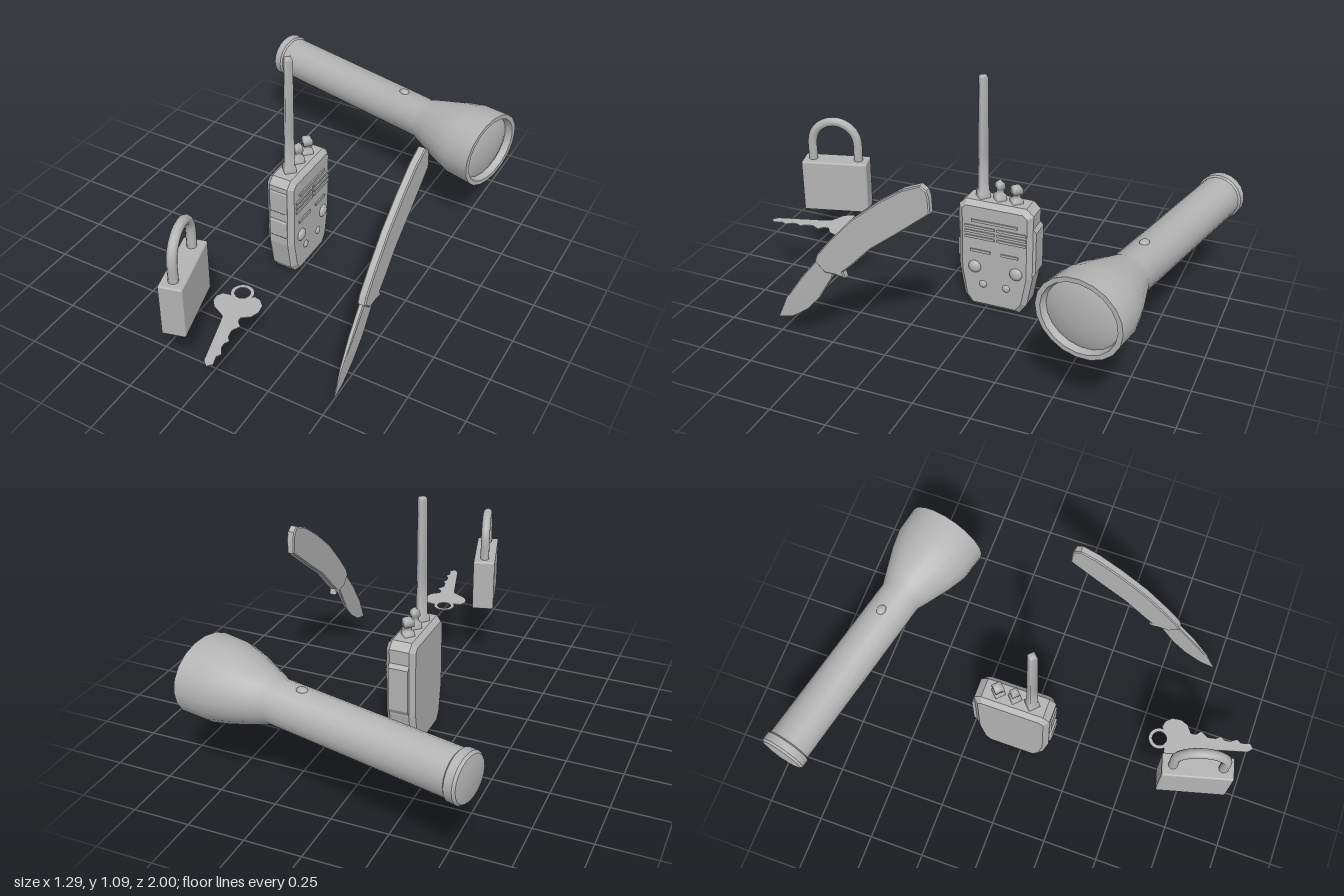
import * as THREE from 'three';
import { toCreasedNormals } from 'three/addons/utils/BufferGeometryUtils.js';
import { RoundedBoxGeometry } from 'three/addons/geometries/RoundedBoxGeometry.js';

const grey = new THREE.MeshStandardMaterial({ color: 0xb4b4b4 });
grey.name = 'plain grey';

function add(parent, name, geometry, x = 0, y = 0, z = 0) {
  const mesh = new THREE.Mesh(geometry, grey);
  mesh.name = name;
  mesh.position.set(x, y, z);
  parent.add(mesh);
  return mesh;
}

function group(parent, name) {
  const g = new THREE.Group();
  g.name = name;
  parent.add(g);
  return g;
}

const shapeOf = (pts) => new THREE.Shape(pts.map(([x, y]) => new THREE.Vector2(x, y)));

// Extrudes an outline, centred on its own plane, with an inset bevel
function slab(shape, thickness, bevel) {
  const geo = new THREE.ExtrudeGeometry(shape, {
    depth: thickness - 2 * bevel, bevelEnabled: bevel > 0, bevelSize: bevel,
    bevelThickness: bevel, bevelOffset: -bevel, bevelSegments: 1, curveSegments: 16,
  });
  return geo.translate(0, 0, bevel - thickness / 2);
}

// Outline given as [z, y], thickness along x
const sideSlab = (pts, thickness, bevel) => slab(shapeOf(pts), thickness, bevel).rotateY(-Math.PI / 2);

function lathe(pts, sides, crease = 0.6) {
  const geo = new THREE.LatheGeometry(pts.map(([r, y]) => new THREE.Vector2(r, y)), sides);
  return toCreasedNormals(geo, crease);
}

function buildFlashlight(root) {
  const torch = group(root, 'flashlight');
  torch.position.set(-0.625, 0.465, -0.9);
  torch.rotation.y = -0.225;
  // Tail cap, tube, flared head, rim and recessed lens in one profile
  const body = new THREE.LatheGeometry([
    [0, -0.012], [0.06, -0.006], [0.095, 0], [0.104, 0.01], [0.104, 0.045], [0.096, 0.052],
    [0.095, 0.88], [0.115, 0.93], [0.161, 1.047], [0.186, 1.135], [0.19, 1.257],
    [0.168, 1.257], [0.16, 1.225], [0.13, 1.236], [0.07, 1.246], [0, 1.249],
  ].map(([r, y]) => new THREE.Vector2(r, y)), 20).rotateZ(-Math.PI / 2);
  // The head is a little flatter than it is wide
  const p = body.attributes.position;
  for (let i = 0; i < p.count; i++) {
    const s = THREE.MathUtils.smoothstep(p.getX(i), 0.85, 1.1);
    p.setY(i, p.getY(i) * (1 - 0.11 * s));
  }
  add(torch, 'flashlightBody', toCreasedNormals(body, 0.6));
  add(torch, 'flashlightSwitch', new THREE.SphereGeometry(0.025, 12, 8).scale(1, 0.5, 0.8), 0.755, 0.093, 0);
}

function buildRadio(root) {
  const radio = group(root, 'radio');
  const cx = -0.066;
  add(radio, 'radioBody', sideSlab([
    [0.1, 0.53], [0.13, 0.5], [0.13, 0.19], [0.105, 0.05], [0.07, 0.003],
    [-0.155, 0.003], [-0.19, 0.05], [-0.215, 0.19], [-0.215, 0.5], [-0.182, 0.53],
  ], 0.132, 0.022), cx, 0, 0);

  // Raised side keys and rear grip
  add(radio, 'talkButton', new RoundedBoxGeometry(0.085, 0.085, 0.03, 1, 0.006), cx, 0.28, 0.126);
  add(radio, 'upperSideButton', new RoundedBoxGeometry(0.085, 0.11, 0.02, 1, 0.006), cx, 0.42, 0.127);
  add(radio, 'sideGrip', sideSlab([[-0.205, 0.45], [-0.229, 0.42], [-0.229, 0.22], [-0.205, 0.18]], 0.09, 0), cx, 0, 0);

  // Speaker grille: slats split by a narrow gap
  const bar = (z0, z1, y) =>
    add(radio, 'grilleSlat', new THREE.BoxGeometry(0.008, 0.012, z1 - z0), 0.002, y, (z0 + z1) / 2);
  bar(-0.15, 0.065, 0.44);
  for (const y of [0.41, 0.385, 0.36]) {
    bar(-0.19, -0.056, y);
    bar(-0.044, 0.095, y);
  }
  bar(-0.155, -0.075, 0.293);
  bar(-0.025, 0.07, 0.293);

  // Face buttons
  for (const [z, y, r] of [[0.05, 0.21, 0.03], [-0.145, 0.21, 0.03], [0.01, 0.127, 0.018], [-0.1, 0.127, 0.018]])
    add(radio, 'faceButton', new THREE.SphereGeometry(r, 12, 8).scale(0.55, 1, 1), 0, y, z);

  // Four-sided antenna and control knobs
  add(radio, 'antenna', lathe([
    [0.036, 0.52], [0.036, 0.555], [0.027, 0.565], [0.025, 0.75], [0.022, 1.08], [0.018, 1.09], [0, 1.09],
  ], 4, 1.7), cx, 0, 0.035);
  add(radio, 'pointedKnob', lathe([
    [0.032, 0.52], [0.032, 0.555], [0.018, 0.565], [0.018, 0.58], [0.026, 0.59], [0.022, 0.61], [0, 0.627],
  ], 4, 1.7), cx, 0, -0.043);
  add(radio, 'roundKnob', lathe([
    [0.032, 0.52], [0.032, 0.548], [0.018, 0.555], [0.018, 0.57], [0.03, 0.575], [0.03, 0.598], [0.02, 0.61], [0, 0.612],
  ], 4, 1.7), cx, 0, -0.119);
}

function buildPadlock(root) {
  const lock = group(root, 'padlock');
  lock.position.set(-0.099, 0.315, 0.782);
  lock.rotation.y = 0.266;
  add(lock, 'lockBody', new RoundedBoxGeometry(0.1, 0.245, 0.302, 2, 0.008), 0, 0.1225, 0);
  // Shackle: two straight legs joined by a half circle
  const path = new THREE.CurvePath();
  const R = 0.105, h = 0.325;
  const pts = [[-R, 0.22], [-R, 0.27]];
  for (let i = 0; i <= 10; i++) {
    const a = Math.PI * (1 - i / 10);
    pts.push([Math.cos(a) * R, h + Math.sin(a) * R]);
  }
  pts.push([R, 0.27], [R, 0.22]);
  const curve = new THREE.CatmullRomCurve3(pts.map(([z, y]) => new THREE.Vector3(0, y, z)));
  add(lock, 'shackle', new THREE.TubeGeometry(curve, 36, 0.021, 10));
}

function buildKey(root) {
  const key = group(root, 'key');
  const lay = (shape) => slab(shape, 0.004, 0).rotateX(Math.PI / 2);
  // Lobed bow and notched blade, as [x, z]
  add(key, 'keyBlade', lay(shapeOf([
    [0.03, 0.637], [0.005, 0.628], [-0.025, 0.635], [-0.04, 0.66], [-0.035, 0.69], [-0.015, 0.715],
    [0.02, 0.732], [0.045, 0.745], [0.057, 0.78], [0.115, 0.98], [0.138, 0.999], [0.157, 0.98],
    [0.144, 0.94], [0.155, 0.92], [0.135, 0.89], [0.133, 0.868], [0.144, 0.848], [0.127, 0.83],
    [0.12, 0.795], [0.138, 0.76], [0.116, 0.742], [0.112, 0.72], [0.145, 0.695], [0.158, 0.66],
    [0.152, 0.62], [0.128, 0.596], [0.098, 0.59], [0.078, 0.617], [0.06, 0.636],
  ])), 0, 0.317, 0);
  const ring = new THREE.Shape().absarc(0.043, 0.595, 0.048, 0, Math.PI * 2);
  ring.holes.push(new THREE.Path().absarc(0.043, 0.595, 0.032, 0, Math.PI * 2, true));
  add(key, 'keyRing', lay(ring), 0, 0.317, 0);
}

function buildKnife(root) {
  const knife = group(root, 'knife');
  knife.position.x = 0.538;
  const handle = sideSlab([
    [0.037, 0.866], [0.01, 0.848], [0.001, 0.82], [-0.003, 0.752], [0.139, 0.636], [0.262, 0.54],
    [0.353, 0.444], [0.395, 0.405], [0.386, 0.378], [0.43, 0.385], [0.48, 0.385], [0.524, 0.428],
    [0.513, 0.46], [0.449, 0.54], [0.342, 0.658], [0.219, 0.76], [0.112, 0.834],
  ], 0.036, 0.005);
  add(knife, 'knifeHandle', toCreasedNormals(handle, 0.6));
  // Blade thins out towards its tip
  const blade = sideSlab([
    [0.515, 0.43], [0.524, 0.425], [0.604, 0.326], [0.684, 0.209], [0.733, 0.1], [0.663, 0.118],
    [0.583, 0.176], [0.513, 0.257], [0.449, 0.364], [0.44, 0.4],
  ], 0.022, 0.004);
  const p = blade.attributes.position;
  for (let i = 0; i < p.count; i++)
    p.setX(i, p.getX(i) * THREE.MathUtils.clamp((p.getY(i) - 0.08) / 0.25, 0.1, 1));
  blade.computeVertexNormals();
  add(knife, 'knifeBlade', blade);
}

export function createModel() {
  const root = new THREE.Group();
  root.name = 'toolSet';
  buildFlashlight(root);
  buildRadio(root);
  buildPadlock(root);
  buildKey(root);
  buildKnife(root);
  return root;
}
